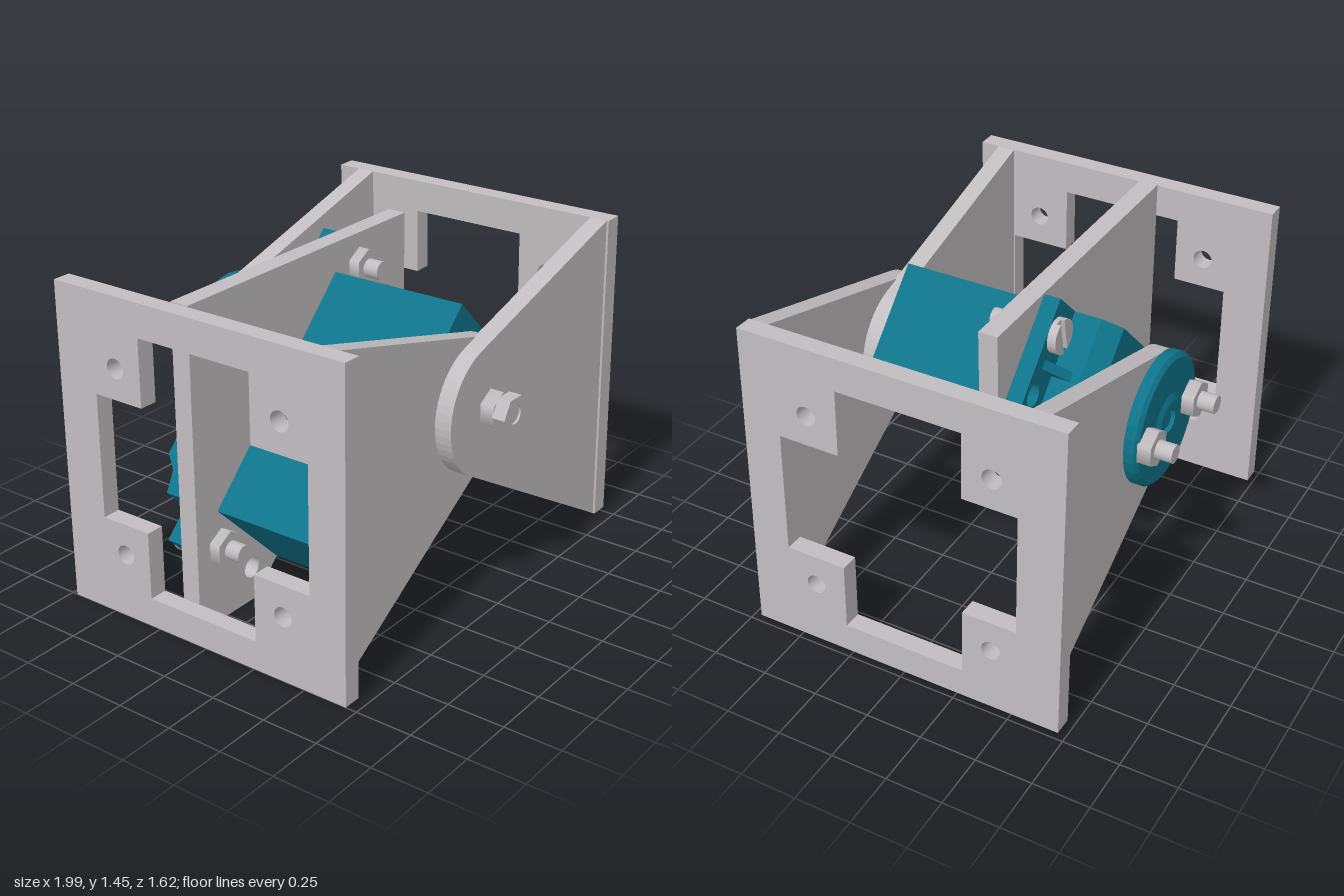
import * as THREE from 'three';

const grey = new THREE.MeshStandardMaterial({ color: 0xc1bdc0 });
grey.name = 'bracketGrey';
const teal = new THREE.MeshStandardMaterial({ color: 0x0e738a });
teal.name = 'servoTeal';

const PIVOT = [-0.02, 0.895];

function add(parent, name, geometry, material) {
  const m = new THREE.Mesh(geometry, material);
  m.name = name;
  parent.add(m);
  return m;
}
const poly = (pts) => new THREE.Shape(pts.map(([x, y]) => new THREE.Vector2(x, y)));
const circle = (x, y, r) => new THREE.Path().absarc(x, y, r, 0, Math.PI * 2, true);

// flat sheet lying in xy between two z values
function sheet(shape, z0, z1) {
  const g = new THREE.ExtrudeGeometry(shape, { depth: z1 - z0, bevelEnabled: false, curveSegments: 20 });
  return g.translate(0, 0, z0);
}
// round or hexagonal bar along z
function bar(parent, name, x, y, z0, z1, r, sides, material, turn = 0) {
  const g = new THREE.CylinderGeometry(r, r, z1 - z0, sides, 1, false, turn).rotateX(Math.PI / 2);
  return add(parent, name, g.translate(x, y, (z0 + z1) / 2), material);
}
// turned part, profile listed as [radius, z] with z rising
function turned(parent, name, x, y, profile, material) {
  const g = new THREE.LatheGeometry(profile.map(([r, z]) => new THREE.Vector2(r, z)), 32).toNonIndexed();
  g.computeVertexNormals();
  return add(parent, name, g.rotateX(Math.PI / 2).translate(x, y, 0), material);
}

// end plate with cross cutout and four holes, from x0 to x1
function endPlate(x0, x1) {
  const s = poly([[-0.70, -0.89], [0.725, -0.89], [0.725, 0.53], [-0.70, 0.53]]);
  s.holes.push(new THREE.Path(poly([
    [-0.53, -0.46], [-0.26, -0.46], [-0.26, -0.76], [0.29, -0.76], [0.29, -0.46], [0.53, -0.46],
    [0.53, 0.09], [0.29, 0.09], [0.29, 0.385], [-0.26, 0.385], [-0.26, 0.09], [-0.53, 0.09],
  ]).getPoints()));
  for (const a of [-0.40, 0.42]) for (const b of [-0.60, 0.225]) s.holes.push(circle(a, b, 0.043));
  return sheet(s, x0, x1).rotateY(Math.PI / 2);
}

// tapered arm: round end at the pivot, tangent edges running to the plate at x = side * d
function armShape(side, d) {
  const r = 0.283;
  const tangent = (y, sign) => Math.atan2(y, d) + sign * Math.acos(r / Math.hypot(d, y));
  const a0 = tangent(0.53, 1), a1 = tangent(-0.89, -1) + Math.PI * 2;
  const pts = [[side * d, -0.89], [side * d, 0.53]];
  for (let i = 0; i <= 20; i++) {
    const a = a0 + (a1 - a0) * i / 20;
    pts.push([side * r * Math.cos(a), r * Math.sin(a)]);
  }
  return poly(pts);
}

export function createModel() {
  const model = new THREE.Group();
  model.name = 'servoBracketJoint';

  // moving bracket, slightly turned about the pivot
  const moving = new THREE.Group();
  moving.name = 'movingBracket';
  moving.position.set(PIVOT[0], PIVOT[1], 0);
  moving.rotation.z = 0.028;
  model.add(moving);
  add(moving, 'movingEndPlate', endPlate(0.905, 0.987), grey);
  add(moving, 'movingFrontArm', sheet(armShape(1, 0.906), 0.61, 0.69), grey);
  add(moving, 'movingBackArm', sheet(armShape(1, 0.906), -0.62, -0.54), grey);

  // horn disc bolted to the back arm
  turned(moving, 'hornDisc', 0, 0, [
    [0, -0.67], [0.05, -0.67], [0.05, -0.692], [0.09, -0.692], [0.12, -0.68],
    [0.27, -0.68], [0.288, -0.665], [0.288, -0.62], [0, -0.62],
  ], teal);
  bar(moving, 'hornScrew', 0, 0, -0.68, -0.66, 0.035, 12, teal);
  for (const x of [-0.205, 0.205]) {
    bar(moving, 'hornNut', x, 0, -0.735, -0.675, 0.083, 6, grey);
    bar(moving, 'hornBolt', x, 0, -0.81, -0.53, 0.04, 16, grey);
  }

  // fixed bracket
  const fixed = new THREE.Group();
  fixed.name = 'fixedBracket';
  fixed.position.set(PIVOT[0], PIVOT[1], 0);
  model.add(fixed);
  add(fixed, 'fixedEndPlate', endPlate(-0.98, -0.898), grey);
  add(fixed, 'fixedFrontArm', sheet(armShape(-1, 0.9), 0.535, 0.615), grey);

  // servo mounting plate, notched around the body
  const mount = poly([
    [-0.92, 0.005], [-0.56, 0.005], [-0.42, 0.145], [-0.79, 0.51], [0, 1.30],
    [0.37, 0.935], [0.5, 1.08], [0.5, 1.43], [-0.92, 1.43],
  ]);
  mount.holes.push(circle(0.352, 1.098, 0.045), circle(-0.588, 0.158, 0.045));
  add(model, 'mountingPlate', sheet(mount, -0.185, -0.10), grey);

  // pivot bolt with two locked nuts
  bar(model, 'pivotBolt', PIVOT[0], 0.9, 0.53, 0.80, 0.04, 16, grey);
  bar(model, 'pivotInnerNut', PIVOT[0], 0.9, 0.69, 0.752, 0.083, 6, grey);
  const ring = new THREE.Shape();
  for (let i = 0; i < 6; i++) {
    const a = i * Math.PI / 3;
    ring[i ? 'lineTo' : 'moveTo'](PIVOT[0] + 0.083 * Math.cos(a), 0.9 + 0.083 * Math.sin(a));
  }
  ring.closePath();
  ring.holes.push(circle(PIVOT[0], 0.9, 0.04));
  add(model, 'pivotOuterNut', sheet(ring, 0.752, 0.81), grey);

  // servo, long axis along its local x
  const servo = new THREE.Group();
  servo.name = 'servo';
  servo.position.set(-0.21, 0.72, 0);
  servo.rotation.z = Math.PI / 4;
  model.add(servo);
  const body = poly([
    [-0.56, 0.53], [0.56, 0.53], [0.56, -0.38], [0.50, -0.46],
    [-0.40, -0.46], [-0.46, -0.40], [-0.56, -0.375],
  ]);
  add(servo, 'servoBody', sheet(body, -0.26, 0.26).rotateX(Math.PI / 2), teal);

  // mounting ears with a screw, an open hole and a rib each
  for (const s of [-1, 1]) {
    const ear = poly([[s * 0.55, -0.26], [s * 0.74, -0.26], [s * 0.74, 0.26], [s * 0.55, 0.26]]);
    ear.holes.push(circle(s * 0.665, -0.13, 0.05));
    add(servo, 'mountingEar', sheet(ear, -0.26, -0.187), teal);
    const rib = poly([[s * 0.55, -0.25], [s * 0.55, -0.35], [s * 0.69, -0.25]]);
    add(servo, 'earRib', sheet(rib, -0.02, 0.02).rotateX(Math.PI / 2), teal);
    const x = s * 0.665, y = 0.13;
    bar(servo, 'earScrewHead', x, y, -0.28, -0.26, 0.075, 20, grey);
    for (const side of [-1, 1]) {
      const half = new THREE.Shape().absarc(0, 0, 0.075, 0.2, Math.PI - 0.2, false);
      const m = add(servo, 'slottedHeadHalf', sheet(half, -0.298, -0.28), grey);
      m.position.set(x, y, 0);
      m.rotation.z = side > 0 ? 0.6 : 0.6 + Math.PI;
    }
    bar(servo, 'earNut', x, y, -0.10, -0.05, 0.083, 6, grey, 0.26);
    bar(servo, 'earBolt', x, y, -0.25, 0.02, 0.04, 16, grey);
  }

  // output hub and shaft
  turned(model, 'outputHub', PIVOT[0], 0.9, [
    [0, -0.55], [0.08, -0.55], [0.08, -0.51], [0.13, -0.51], [0.18, -0.46], [0.18, -0.45],
  ], teal);
  return model;
}
